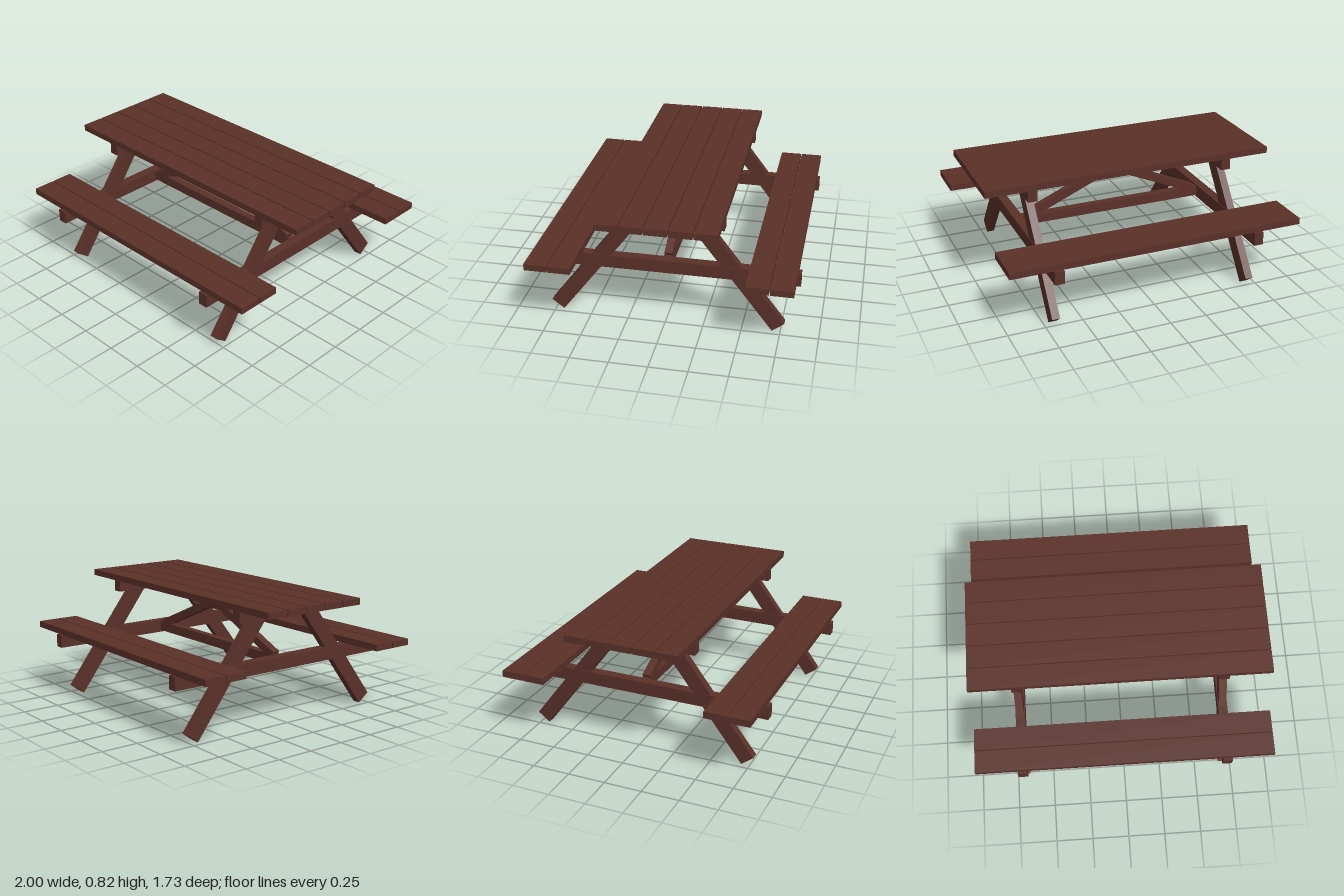
import * as THREE from 'three';

const wood = new THREE.MeshStandardMaterial({ color: 0x5a3028, flatShading: true });

// Axis-aligned timber: size and centre
function timber(parent, name, [w, h, d], [x, y, z]) {
  const mesh = new THREE.Mesh(new THREE.BoxGeometry(w, h, d), wood);
  mesh.name = name;
  mesh.position.set(x, y, z);
  parent.add(mesh);
  return mesh;
}

export function createModel() {
  const table = new THREE.Group();
  table.name = 'picnicTable';

  // Table top: five planks
  const top = new THREE.Group();
  top.name = 'tableTop';
  table.add(top);
  for (let i = -2; i <= 2; i++) {
    timber(top, 'topPlank', [2, 0.043, 0.146], [0, 0.803, i * 0.154]);
  }

  // Two benches of two planks each
  for (const side of [1, -1]) {
    const bench = new THREE.Group();
    bench.name = side > 0 ? 'frontBench' : 'backBench';
    for (const z of [0.622, 0.775]) {
      timber(bench, 'benchPlank', [2, 0.043, 0.146], [0, 0.47, side * z]);
    }
    table.add(bench);
  }

  // End frames: top bearer, bench bearer and a pair of splayed legs
  const foot = new THREE.Vector2(0.735, 0.035); // (z, y)
  const head = new THREE.Vector2(0.201, 0.74);
  const mid = foot.clone().add(head).multiplyScalar(0.5);
  const lean = Math.atan2(foot.x - head.x, head.y - foot.y);
  for (const side of [1, -1]) {
    const frame = new THREE.Group();
    frame.name = side > 0 ? 'leftFrame' : 'rightFrame';
    frame.position.x = side * 0.688;
    timber(frame, 'topBearer', [0.064, 0.077, 0.755], [0, 0.743, 0]);
    timber(frame, 'benchBearer', [0.064, 0.088, 1.73], [0, 0.405, 0]);
    for (const s of [1, -1]) {
      const leg = timber(frame, s > 0 ? 'frontLeg' : 'backLeg',
        [0.053, foot.distanceTo(head), 0.1], [0, mid.y, s * mid.x]);
      leg.rotation.x = -s * lean;
    }
    table.add(frame);
  }

  // Long stretcher and the two diagonal braces meeting under the top
  timber(table, 'stretcher', [1.33, 0.065, 0.054], [0, 0.407, 0]);
  const apex = new THREE.Vector2(0, 0.7);
  const end = new THREE.Vector2(0.62, 0.433);
  for (const s of [1, -1]) {
    const brace = timber(table, s > 0 ? 'leftBrace' : 'rightBrace',
      [apex.distanceTo(end), 0.054, 0.053], [s * end.x / 2, (apex.y + end.y) / 2, 0]);
    brace.rotation.z = -s * Math.atan2(apex.y - end.y, end.x);
  }

  return table;
}
